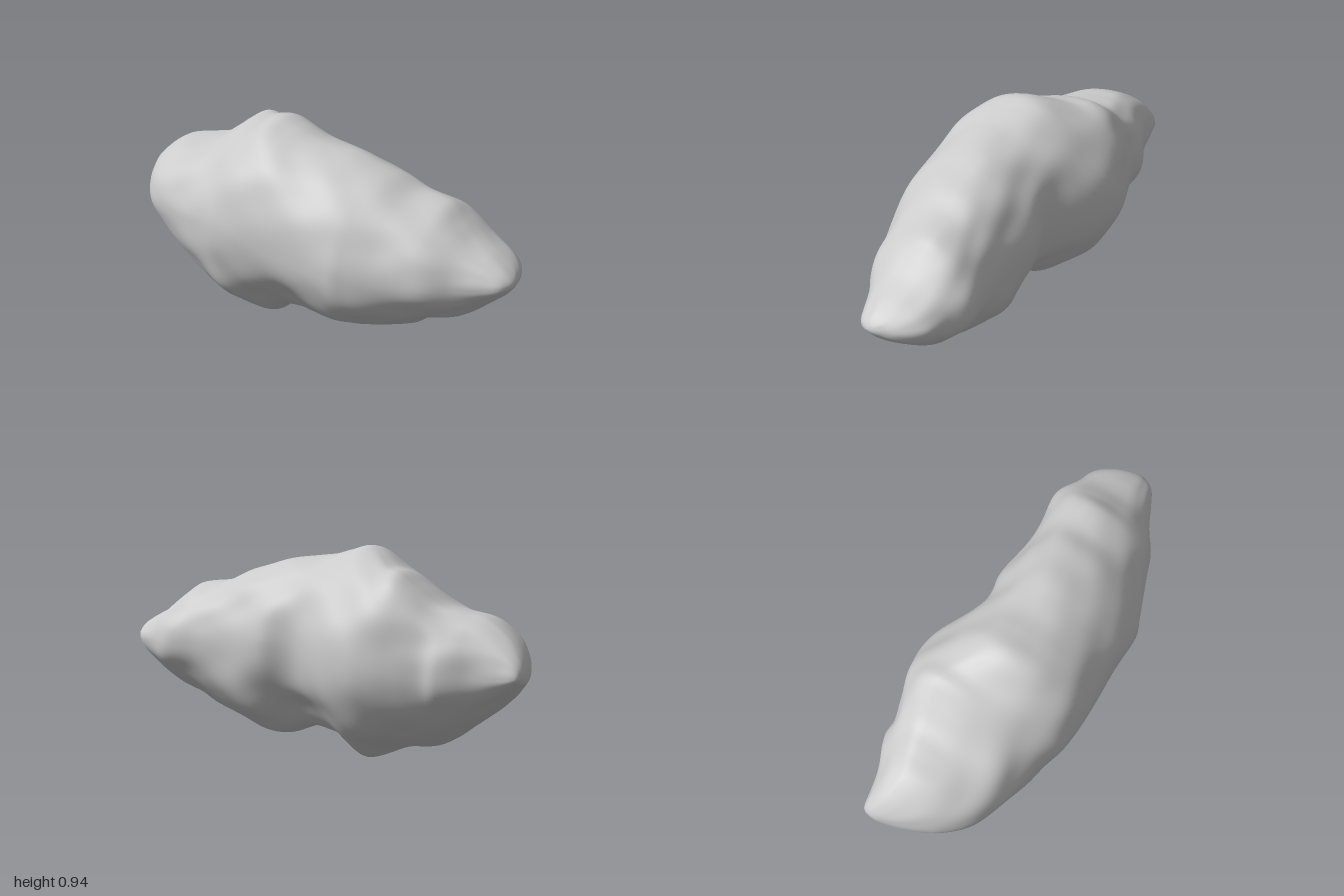
import * as THREE from 'three';

// Profiles along the length of the rock: [x, value]
const top = [[-1, .48], [-.99, .525], [-.97, .56], [-.9, .63], [-.8, .69], [-.7, .71], [-.6, .735], [-.5, .81], [-.43, .86], [-.35, .87],
  [-.2, .94], [-.1, .92], [0, .89], [.1, .875], [.2, .86], [.3, .83], [.4, .80], [.5, .75], [.65, .725], [.72, .67], [.8, .61], [.9, .56], [.97, .515], [.99, .495], [1, .47]];
const bottom = [[-1, .48], [-.99, .44], [-.97, .42], [-.9, .35], [-.8, .27], [-.7, .2], [-.6, .13], [-.5, .08], [-.35, .05], [-.25, .01], [-.2, 0],
  [-.16, .02], [-.1, .075], [0, .1], [.08, .107], [.2, .065], [.3, .075], [.4, .11], [.55, .16], [.62, .21], [.75, .25], [.9, .36], [.97, .42], [.99, .445], [1, .47]];
const front = [[-1, -.15], [-.99, -.09], [-.97, -.02], [-.93, .07], [-.9, .12], [-.8, .22], [-.7, .265], [-.5, .315], [-.4, .335], [-.3, .37], [-.15, .387],
  [.1, .37], [.33, .365], [.4, .34], [.5, .3], [.6, .26], [.7, .22], [.8, .15], [.9, .1], [.97, .06], [.99, .03], [1, -.01]];
const back = [[-1, -.15], [-.99, -.195], [-.97, -.21], [-.9, -.225], [-.8, -.25], [-.67, -.31], [-.6, -.305], [-.5, -.34], [-.4, -.375], [-.31, -.39], [-.2, -.37],
  [-.1, -.325], [0, -.265], [.05, -.25], [.1, -.255], [.2, -.285], [.4, -.265], [.55, -.272], [.7, -.295], [.8, -.25], [.9, -.21], [.97, -.12], [.99, -.06], [1, -.01]];
// Where the crest, keel and widest lines run
const crestZ = [[-1, -.15], [-.8, -.09], [-.6, -.12], [-.43, -.16], [-.2, .01], [.2, .02], [.6, -.06], [.85, -.03], [1, -.01]];
const keelZ = [[-1, -.15], [-.8, -.02], [-.4, .11], [-.2, .03], [.1, .04], [.3, -.03], [.7, -.03], [1, -.01]];
const frontY = [[-1, .48], [-.6, .47], [-.2, .5], [.2, .46], [.5, .43], [1, .47]];
const backY = [[-1, .48], [-.6, .45], [-.3, .47], [.05, .53], [.4, .48], [1, .47]];

// Local bumps (+) and dents (-): x, angle, amount, size
const features = [
  [-.5, .25, -.05, .12], [-.66, .5, .04, .13], [-.2, .7, .02, .25], [.12, .45, .02, .2],
  [.52, .35, -.05, .1], [.38, -.35, .04, .12], [.02, -.8, -.03, .14], [.28, -.8, .04, .1],
  [-.35, -.75, .03, .13], [.05, 2.4, -.03, .16], [-.4, 2.4, .02, .14], [.5, 2.6, -.03, .15],
  [.07, 3.95, -.08, .14], [-.25, 3.9, .04, .15], [.35, 3.9, .05, .14], [.65, 3.7, -.04, .12],
];

// Smooth interpolation through a profile, by arc angle so that the tips are round
function sample(p, x) {
  let i = 0;
  while (i < p.length - 2 && x > p[i + 1][0]) i++;
  const u = k => Math.asin(p[k][0]);
  const slope = k => {
    const a = Math.max(k - 1, 0), b = Math.min(k + 1, p.length - 1);
    return (p[b][1] - p[a][1]) / (u(b) - u(a));
  };
  const h = u(i + 1) - u(i), t = (Math.asin(x) - u(i)) / h, t2 = t * t, t3 = t2 * t;
  return (2 * t3 - 3 * t2 + 1) * p[i][1] + (t3 - 2 * t2 + t) * h * slope(i)
    + (3 * t2 - 2 * t3) * p[i + 1][1] + (t3 - t2) * h * slope(i + 1);
}

// Profile averaged over a stretch of x, so that crest bumps do not run around the whole rock
function soften(p, x) {
  const w = .15 * (1 - x * x);
  return [-1, -.5, 0, .5, 1].reduce((sum, k) => sum + sample(p, x + k * w), 0) / 5;
}

// Relief fades out on the four outline lines; the underside is chamfered
function relief(x, a) {
  let r = .01 * Math.sin(9 * x + 3 * a) + .008 * Math.sin(15 * x - 5 * a + 1)
    + .007 * Math.sin(21 * x + 8 * a + 2) + .006 * Math.sin(13 * x - 11 * a + 4);
  for (const [fx, fa, amount, size] of features) {
    const d = Math.atan2(Math.sin(a - fa), Math.cos(a - fa)) * .4;
    r += amount * Math.exp(-((x - fx) ** 2 + d * d) / (size * size));
  }
  const off = Math.abs(Math.sin(2 * a));
  return 1 + r * (.2 + .8 * off) - .06 * off * off * Math.max(0, -Math.sin(a));
}

function rockGeometry(rings = 150, sides = 112) {
  const pos = [-1, .48, -.15], index = [];
  for (let i = 1; i < rings; i++) {
    const x = -Math.cos(Math.PI * i / rings);
    const [yt, yb, zf, zk] = [top, bottom, front, back].map(p => [soften(p, x), sample(p, x)]);
    const zt = sample(crestZ, x), zb = sample(keelZ, x), yf = sample(frontY, x), yk = sample(backY, x);
    const cy = (yt[1] + yb[1]) / 2, cz = (zf[1] + zk[1]) / 2;
    for (let j = 0; j < sides; j++) {
      const a = 2 * Math.PI * j / sides, c = Math.cos(a), s = Math.sin(a);
      // Four quarter ellipses joined at crest, keel and the widest lines
      const midZ = s > 0 ? zt : zb, midY = c > 0 ? yf : yk;
      const [softZ, sharpZ] = c > 0 ? zf : zk, [softY, sharpY] = s > 0 ? yt : yb;
      const z = midZ + (softZ + (sharpZ - softZ) * c ** 6 - midZ) * Math.abs(c);
      const y = midY + (softY + (sharpY - softY) * s ** 6 - midY) * Math.abs(s);
      const k = relief(x, a);
      pos.push(x, cy + (y - cy) * k, cz + (z - cz) * k);
    }
  }
  pos.push(1, .47, -.01);
  const last = pos.length / 3 - 1, id = (i, j) => 1 + i * sides + j % sides;
  for (let j = 0; j < sides; j++) {
    index.push(0, id(0, j), id(0, j + 1), last, id(rings - 2, j + 1), id(rings - 2, j));
    for (let i = 0; i < rings - 2; i++) {
      const a = id(i, j), b = id(i, j + 1), c = id(i + 1, j), d = id(i + 1, j + 1);
      index.push(a, c, b, b, c, d);
    }
  }
  const g = new THREE.BufferGeometry();
  g.setAttribute('position', new THREE.Float32BufferAttribute(pos, 3));
  g.setIndex(index);
  g.computeVertexNormals();
  return g;
}

export function createModel() {
  const group = new THREE.Group();
  const rock = new THREE.Mesh(rockGeometry(), new THREE.MeshStandardMaterial({ color: 0xcccccc }));
  rock.name = 'rock';
  group.add(rock);
  return group;
}
